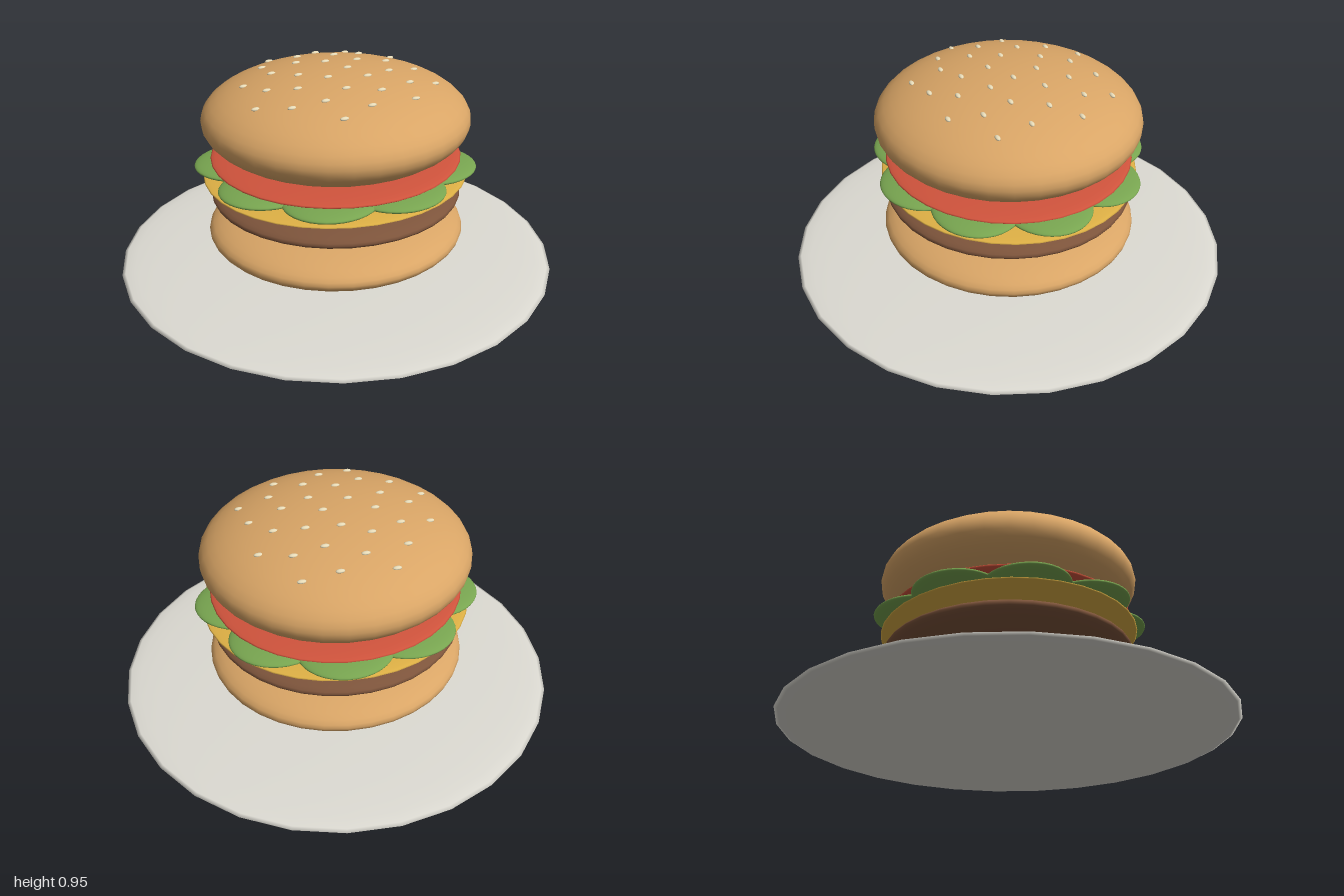
import * as THREE from 'three';

const material = (name, color) => {
  const m = new THREE.MeshStandardMaterial({ color });
  m.name = name;
  return m;
};

export function createModel() {
  const burger = new THREE.Group();
  burger.name = 'burgerOnPlate';

  const bunBrown = material('bunBrown', 0xd9a566);
  const plateGrey = material('plateGrey', 0xdcdad2);
  const pattyBrown = material('pattyBrown', 0x7d543b);
  const cheeseYellow = material('cheeseYellow', 0xdeb045);
  const lettuceGreen = material('lettuceGreen', 0x78a550);
  const tomatoRed = material('tomatoRed', 0xcf533c);
  const seedCream = material('seedCream', 0xf0e4c0);

  const plateBall = new THREE.SphereGeometry(1, 28, 18);
  const ball = new THREE.SphereGeometry(1, 36, 24);
  const smallBall = new THREE.SphereGeometry(1, 10, 8);

  // Every layer is a squashed ball
  const blob = (name, geometry, mat, [x, y, z], [rx, ry, rz], parent = burger) => {
    const mesh = new THREE.Mesh(geometry, mat);
    mesh.name = name;
    mesh.position.set(x, y, z);
    mesh.scale.set(rx, ry, rz);
    parent.add(mesh);
    return mesh;
  };

  // Layers from the plate up
  blob('plate', plateBall, plateGrey, [0, 0.041, 0], [1, 0.039, 1]);
  blob('bottomBun', ball, bunBrown, [0, 0.195, 0], [0.59, 0.125, 0.58]);
  blob('patty', ball, pattyBrown, [0, 0.377, 0], [0.57, 0.077, 0.56]);
  blob('cheese', ball, cheeseYellow, [0, 0.472, 0], [0.605, 0.023, 0.575]);
  blob('tomato', ball, tomatoRed, [0, 0.55, 0], [0.567, 0.033, 0.552]);
  blob('topBun', ball, bunBrown, [0, 0.73, 0], [0.6, 0.21, 0.59]);

  // Ring of overlapping lettuce leaves
  const lettuce = new THREE.Group();
  lettuce.name = 'lettuce';
  burger.add(lettuce);
  for (let i = 0; i < 9; i++) {
    const a = (i / 9) * Math.PI * 2;
    blob('lettuceLeaf', ball, lettuceGreen,
      [0.43 * Math.cos(a), 0.52, 0.43 * Math.sin(a)], [0.21, 0.03, 0.19], lettuce);
  }

  // Sesame seeds in a sunflower spiral over the top bun
  const seeds = new THREE.Group();
  seeds.name = 'sesameSeeds';
  burger.add(seeds);
  const goldenAngle = Math.PI * (3 - Math.sqrt(5));
  for (let i = 0; i < 32; i++) {
    const r = 0.08 * Math.sqrt(i + 0.5);
    const a = i * goldenAngle;
    const y = 0.73 + 0.21 * Math.sqrt(1 - (r / 0.597) ** 2);
    blob('sesameSeed', smallBall, seedCream,
      [r * Math.cos(a), y, r * Math.sin(a)], [0.02, 0.008, 0.011], seeds);
  }

  return burger;
}
